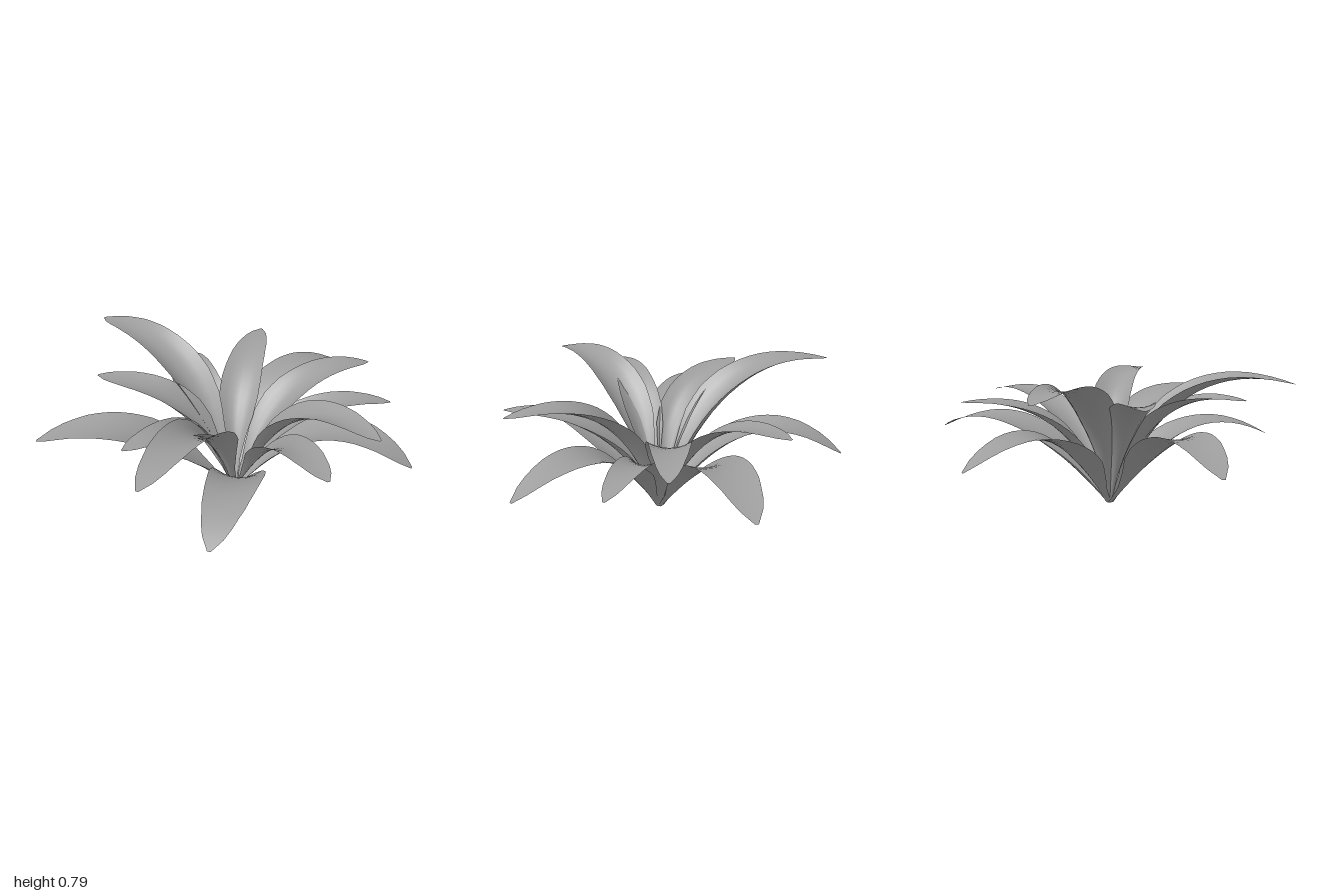
import * as THREE from 'three';

const UP = new THREE.Vector3(0, 1, 0);
const BASE = new THREE.Vector3(0.09, 0, 0.01);
const material = new THREE.MeshStandardMaterial({ color: 0x9e9e9e, side: THREE.DoubleSide });

// Relative width along the blade: narrow stalk, broad middle, blunt tip
const outline = [
  [0, 0.12], [0.1, 0.23], [0.2, 0.5], [0.3, 0.82], [0.4, 0.98], [0.5, 1],
  [0.6, 0.94], [0.7, 0.86], [0.8, 0.74], [0.9, 0.53], [0.96, 0.33], [1, 0.06],
];
function widthAt(t) {
  let i = 1;
  while (i < outline.length - 1 && outline[i][0] < t) i++;
  const [t0, w0] = outline[i - 1], [t1, w1] = outline[i];
  return THREE.MathUtils.mapLinear(t, t0, t1, w0, w1);
}

// Arching blade from the crown to its tip, bowed a little sideways
function createLeaf(rise, channel, [x, z, tipY, peakY, width, bow]) {
  const reach = new THREE.Vector3(x, 0, z).sub(BASE);
  const dir = reach.clone().normalize();
  const left = UP.clone().cross(dir);
  const at = (f, y, offset) => BASE.clone().addScaledVector(reach, f)
    .addScaledVector(left, offset).setY(y);
  const spine = new THREE.CubicBezierCurve3(
    at(0, 0, 0).addScaledVector(dir, 0.018),
    at(0.26, rise * peakY, bow * 1.5),
    at(0.57, peakY + 1.25 * (peakY - tipY), bow * 1.1),
    at(1, tipY, 0));

  const geometry = new THREE.PlaneGeometry(2, 1, 6, 20);
  const pos = geometry.attributes.position;
  for (let i = 0; i < pos.count; i++) {
    const u = pos.getX(i);
    const t = pos.getY(i) + 0.5;
    const tangent = spine.getTangent(t);
    const side = tangent.clone().cross(UP).normalize();
    const normal = side.clone().cross(tangent);
    const half = widthAt(t) * width / 2;
    // Channelled near the crown, flattening outward
    const cup = half * u * u * channel * (1 - t);
    const p = spine.getPoint(t).addScaledVector(side, u * half).addScaledVector(normal, cup);
    pos.setXYZ(i, p.x, Math.max(p.y, 0), p.z);
  }
  geometry.computeVertexNormals();
  return new THREE.Mesh(geometry, material);
}

// Each leaf: tip x, tip z, tip height, arch height, width, sideways bow
const tiers = [
  { name: 'outerLeaf', rise: 0.64, channel: 0.5, leaves: [
    [-0.18, -0.93, 0.36, 0.50, 0.29, 0.06],
    [0.81, -0.74, 0.39, 0.50, 0.30, 0.065],
    [0.98, 0.40, 0.36, 0.50, 0.29, 0.06],
    [-0.14, 0.93, 0.36, 0.46, 0.29, 0.06],
    [-1.00, 0.03, 0.41, 0.53, 0.30, 0.085],
  ] },
  { name: 'middleLeaf', rise: 0.78, channel: 0.7, leaves: [
    [0.34, -0.77, 0.61, 0.62, 0.23, 0.035],
    [0.92, -0.37, 0.57, 0.62, 0.23, 0.03],
    [0.99, -0.09, 0.46, 0.51, 0.20, 0.03],
    [0.44, 0.76, 0.59, 0.60, 0.23, 0.05],
  ] },
  { name: 'innerLeaf', rise: 0.83, channel: 1, leaves: [
    [0.73, 0.57, 0.67, 0.70, 0.23, 0.06],
    [-0.45, 0.88, 0.70, 0.75, 0.26, 0.005],
    [-0.52, 0.50, 0.65, 0.66, 0.22, 0.03],
    [-0.65, -0.18, 0.68, 0.68, 0.23, 0.035],
    [-0.62, -0.74, 0.75, 0.79, 0.26, 0.01],
  ] },
];

export function createModel() {
  const plant = new THREE.Group();
  plant.name = 'leafyPlant';
  for (const { name, rise, channel, leaves } of tiers) {
    leaves.forEach((leaf, i) => {
      const mesh = createLeaf(rise, channel, leaf);
      mesh.name = `${name}${i + 1}`;
      plant.add(mesh);
    });
  }
  return plant;
}
